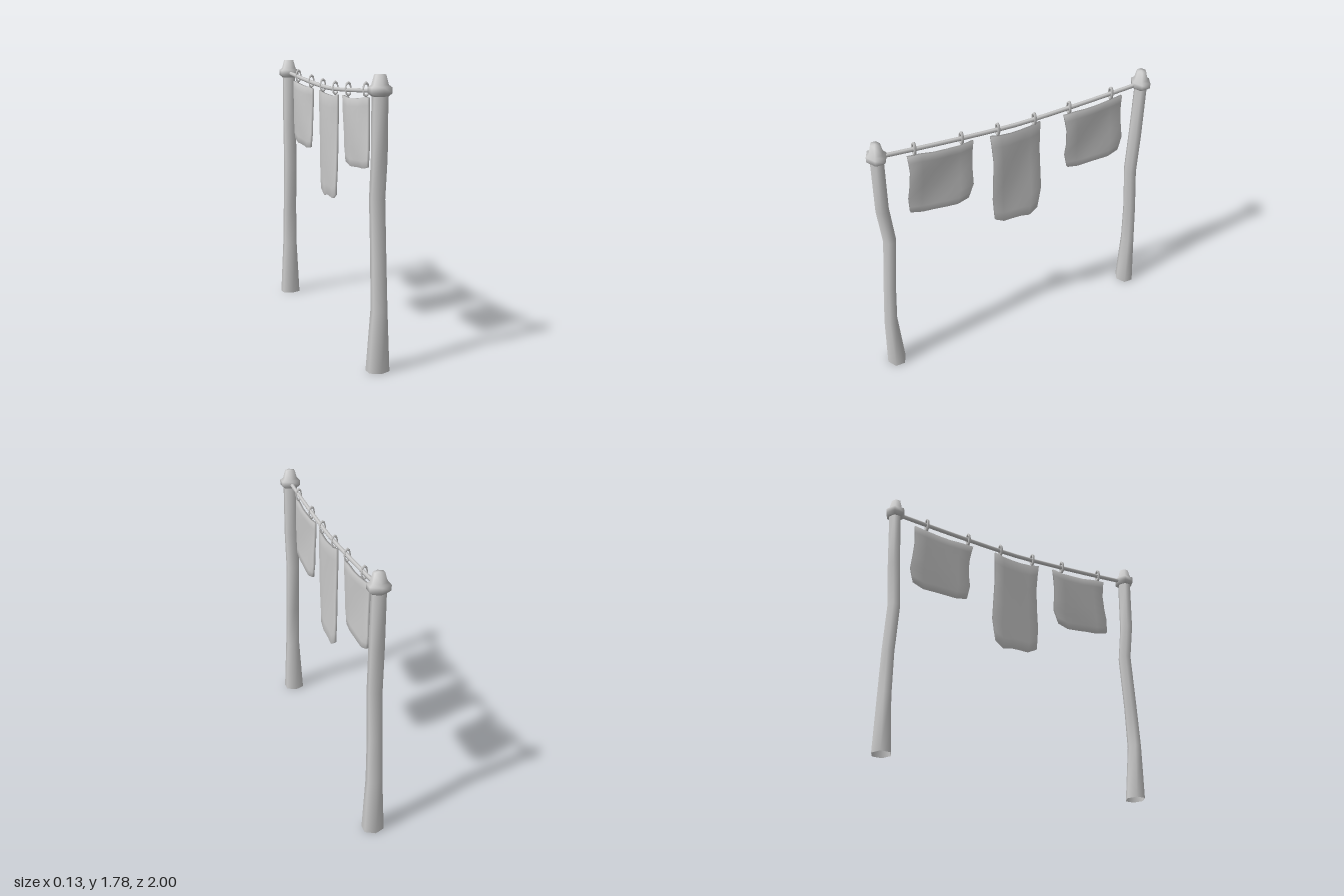
import * as THREE from 'three';
import { mergeVertices } from 'three/addons/utils/BufferGeometryUtils.js';

const SIDES = 6;
const WIDEN = 1.155; // hexagons are stretched so width in x matches depth in z

const material = new THREE.MeshStandardMaterial({ color: 0xcccccc, side: THREE.DoubleSide });

function add(parent, name, geometry) {
  const mesh = new THREE.Mesh(geometry, material);
  mesh.name = name;
  parent.add(mesh);
  return mesh;
}

// Value of an evenly spaced list of numbers at t in 0..1
function sample(list, t) {
  const f = t * (list.length - 1);
  const i = Math.min(Math.floor(f), list.length - 2);
  return THREE.MathUtils.lerp(list[i], list[i + 1], f - i);
}

// Weld a geometry so its shading is smooth
function smooth(geometry) {
  geometry.deleteAttribute('normal');
  geometry.deleteAttribute('uv');
  const welded = mergeVertices(geometry, 1e-5);
  welded.computeVertexNormals();
  return welded;
}

// Crooked, open-ended post; rings are [y, z, radius] from the top down
function post(rings) {
  const g = new THREE.CylinderGeometry(1, 1, 1, SIDES, rings.length - 1, true);
  const p = g.attributes.position;
  for (let i = 0; i < p.count; i++) {
    const [y, z, r] = rings[Math.floor(i / (SIDES + 1))];
    p.setXYZ(i, p.getX(i) * r * WIDEN, y, z + p.getZ(i) * r);
  }
  return smooth(g);
}

// Cloth hanging in the zy plane; outline given by its four edges
function cloth({ top, bottom, left, right }) {
  const g = new THREE.BoxGeometry(1, 1, 1, 1, 6, 5);
  const p = g.attributes.position;
  const rows = [0, 0.12, 0.3, 0.55, 0.76, 0.9, 1];
  for (let i = 0; i < p.count; i++) {
    const u = 0.5 - p.getZ(i);
    const v = rows[Math.round((0.5 - p.getY(i)) * 6)];
    const z = THREE.MathUtils.lerp(sample(left, v), sample(right, v), u);
    const y = THREE.MathUtils.lerp(sample(top, u), sample(bottom, u), v);
    const sway = 0.004 + 0.005 * Math.sin(v * 5 + u * 4);
    p.setXYZ(i, sway + p.getX(i) * 0.016, y, z);
  }
  return smooth(g);
}

// Height of the sagging rope at z
const ropeY = (z) => 1.64 + 0.055 * Math.pow(Math.abs(z), 1.4);

export function createModel() {
  const model = new THREE.Group();
  model.name = 'clothesLine';

  // Posts
  const posts = [
    ['frontPost', [
      [1.68, 0.934, 0.044], [1.3, 0.932, 0.044], [1.05, 0.904, 0.043],
      [0.68, 0.933, 0.043], [0.38, 0.95, 0.046], [0, 0.935, 0.065],
    ]],
    ['backPost', [
      [1.68, -0.938, 0.041], [1.3, -0.925, 0.043], [1.0, -0.909, 0.043],
      [0.68, -0.93, 0.043], [0.38, -0.937, 0.047], [0, -0.934, 0.064],
    ]],
  ];
  for (const [name, rings] of posts) add(model, name, post(rings));

  // Collared caps on the posts
  const capProfile = [
    [0, 1.656], [0.044, 1.656], [0.065, 1.675], [0.065, 1.708],
    [0.046, 1.722], [0.031, 1.782], [0, 1.785],
  ].map(([r, y]) => new THREE.Vector2(r, y));
  for (const [name, z] of [['frontCap', 0.935], ['backCap', -0.935]]) {
    const cap = add(model, name, new THREE.LatheGeometry(capProfile, SIDES));
    cap.scale.x = WIDEN;
    cap.position.z = z;
  }

  // Sagging rope
  const ropePoints = [];
  for (let i = 0; i <= 8; i++) {
    const z = 0.93 - (i * 1.86) / 8;
    ropePoints.push(new THREE.Vector3(0, ropeY(z), z));
  }
  add(model, 'rope', new THREE.TubeGeometry(new THREE.CatmullRomCurve3(ropePoints), 16, 0.014, 6));

  // Loops tying the cloths to the rope
  for (const z of [0.695, 0.38, 0.13, -0.13, -0.385, -0.7]) {
    const loop = add(model, 'loop', new THREE.TorusGeometry(0.04, 0.01, 5, 8));
    loop.scale.set(0.48, 1, 1);
    loop.position.set(0.004, ropeY(z) + 0.006, z);
  }

  // Hanging cloths
  const cloths = [
    ['frontCloth', {
      top: [1.635, 1.63, 1.615, 1.61, 1.605, 1.615],
      bottom: [1.217, 1.197, 1.193, 1.185, 1.178, 1.2],
      left: [0.743, 0.731, 0.738, 0.754, 0.749],
      right: [0.3, 0.312, 0.316, 0.31, 0.348],
    }],
    ['middleCloth', {
      top: [1.61, 1.597, 1.593, 1.595, 1.6, 1.615],
      bottom: [0.945, 0.913, 0.917, 0.917, 0.903, 0.945],
      left: [0.182, 0.162, 0.163, 0.168, 0.155],
      right: [-0.176, -0.17, -0.175, -0.184, -0.158],
    }],
    ['backCloth', {
      top: [1.61, 1.615, 1.613, 1.618, 1.627, 1.637],
      bottom: [1.195, 1.182, 1.187, 1.19, 1.19, 1.218],
      left: [-0.348, -0.372, -0.38, -0.367, -0.39],
      right: [-0.79, -0.783, -0.79, -0.805, -0.78],
    }],
  ];
  for (const [name, edges] of cloths) add(model, name, cloth(edges));

  return model;
}
